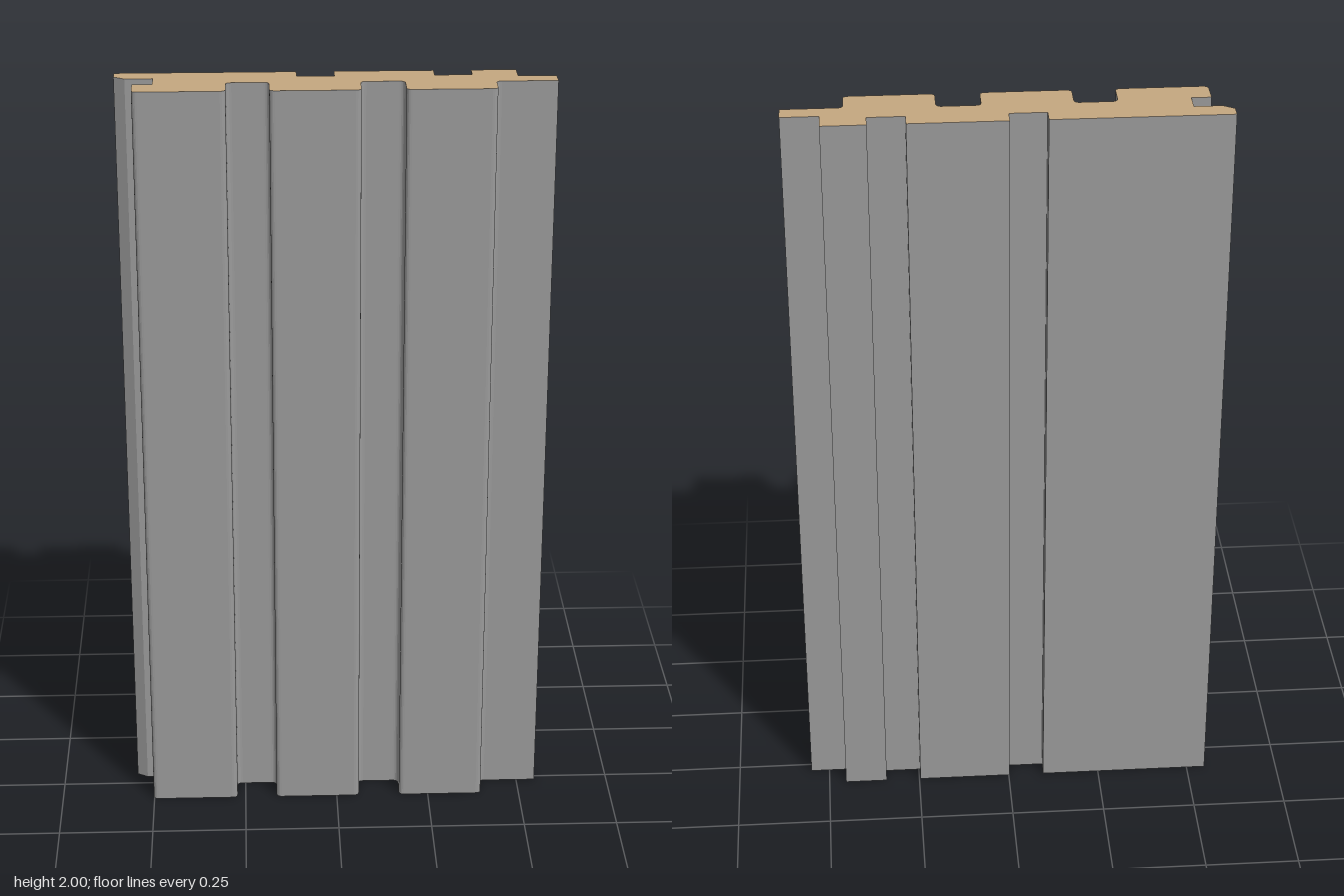
import * as THREE from 'three';

const HEIGHT = 2;
const R = 0.014; // softened edges of the front ribs
const BACK = -0.084;
const FRONT = 0.084;

// Closed outline from [x, z, radius] corners; z is flipped because the shape is later laid flat
function roundedOutline(corners) {
  const pts = corners.map(([x, z]) => new THREE.Vector2(x, -z));
  const shape = new THREE.Shape();
  const n = pts.length;
  corners.forEach(([, , r = 0], i) => {
    const p = pts[i];
    const toward = (q) => p.clone().add(q.clone().sub(p).setLength(r));
    const a = r ? toward(pts[(i + n - 1) % n]) : p;
    if (i === 0) shape.moveTo(a.x, a.y);
    else shape.lineTo(a.x, a.y);
    if (r) {
      const b = toward(pts[(i + 1) % n]);
      shape.quadraticCurveTo(p.x, p.y, b.x, b.y);
    }
  });
  shape.closePath();
  return shape;
}

// Rectangular relief channel in the back face
const backChannel = (x0, x1) => [[x0, BACK], [x0, -0.042], [x1, -0.042], [x1, BACK]];

// Rounded channel between two front ribs, running from +x to -x
const frontChannel = (x1, x0) => [[x1, FRONT, R], [x1, 0.01, R], [x0, 0.01, R], [x0, FRONT, R]];

export function createModel() {
  const group = new THREE.Group();
  group.name = 'claddingBoard';

  const profile = roundedOutline([
    // back face
    [-0.55, BACK],
    ...backChannel(-0.096, -0.002),
    ...backChannel(0.247, 0.341),
    // tongue
    [0.454, BACK], [0.454, -0.028], [0.55, -0.028], [0.55, 0.018],
    // front ribs
    [0.396, 0.018, R], [0.396, FRONT, R],
    ...frontChannel(0.171, 0.061),
    ...frontChannel(-0.165, -0.272),
    [-0.502, FRONT, R],
    // groove and chamfered lip
    [-0.502, 0.018], [-0.452, 0.018], [-0.452, -0.032], [-0.522, -0.032], [-0.55, -0.05],
  ]);

  const geometry = new THREE.ExtrudeGeometry(profile, {
    depth: HEIGHT, bevelEnabled: false, curveSegments: 5,
  });
  geometry.rotateX(-Math.PI / 2);

  // Cut ends are wood coloured, long faces are grey
  const cutEnds = new THREE.MeshStandardMaterial({ color: 0xc5a880 });
  const longFaces = new THREE.MeshStandardMaterial({ color: 0x9b9b9b });
  const board = new THREE.Mesh(geometry, [cutEnds, longFaces]);
  board.name = 'ribbedBoard';
  group.add(board);
  return group;
}
